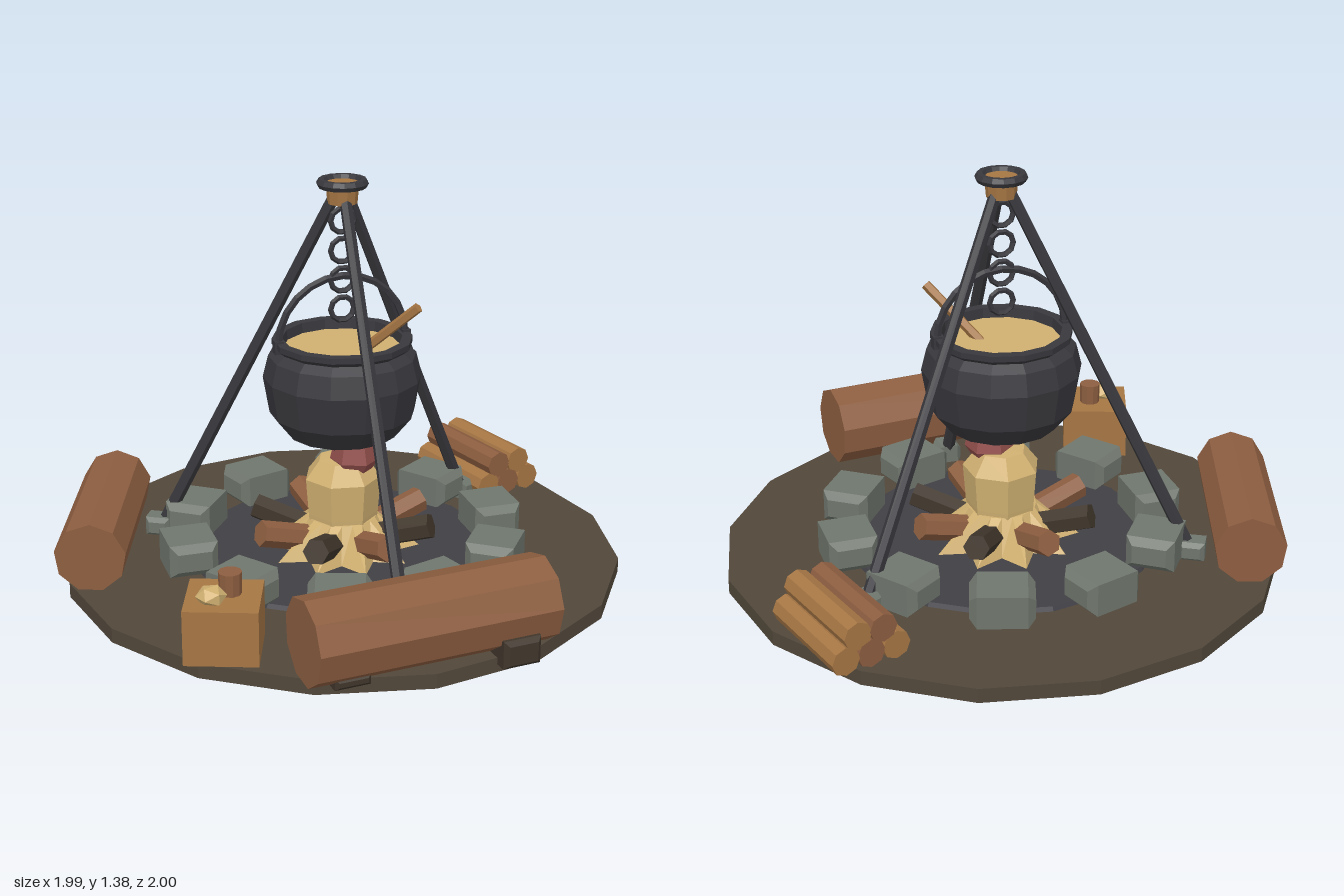
import * as THREE from 'three';

const V = (x, y, z) => new THREE.Vector3(x, y, z);
const mat = (name, color) => Object.assign(new THREE.MeshStandardMaterial({ color }), { name });

// Faceted normals for every face
function facet(geo) {
  const g = geo.index ? geo.toNonIndexed() : geo;
  g.computeVertexNormals();
  return g;
}

// Box with chamfered edges, centred on its origin
function chamferBox(w, h, d, c) {
  const x = w / 2 - c, y = h / 2 - c;
  const s = new THREE.Shape([[-x, -y], [x, -y], [x, y], [-x, y]].map(p => new THREE.Vector2(...p)));
  return new THREE.ExtrudeGeometry(s, {
    depth: d - 2 * c, bevelEnabled: true, bevelSize: c, bevelThickness: c, bevelSegments: 1,
  }).translate(0, 0, c - d / 2);
}

export function createModel() {
  const earth = mat('earth', 0x51473a), ash = mat('ash', 0x403f45), stone = mat('stone', 0x6f766d);
  const iron = mat('iron', 0x38383d), bark = mat('bark', 0x8d5e40), wood = mat('wood', 0xa67644);
  const charred = mat('charred wood', 0x40362b), straw = mat('straw yellow', 0xd0b071);
  const red = mat('flame red', 0x93504c);

  const model = new THREE.Group();
  model.name = 'campfire';
  const camp = new THREE.Group(); // everything arranged around the fire
  camp.name = 'fireAndTripod';
  camp.position.set(0.02, 0, -0.032);
  model.add(camp);

  function add(parent, name, geo, material, x = 0, y = 0, z = 0, ry = 0) {
    const m = new THREE.Mesh(facet(geo), material);
    m.name = name;
    m.position.set(x, y, z);
    m.rotation.y = ry;
    parent.add(m);
    return m;
  }
  // Straight prism between two points
  function beam(parent, name, a, b, rA, rB, sides, material) {
    const dir = b.clone().sub(a);
    const m = add(parent, name, new THREE.CylinderGeometry(rB, rA, dir.length(), sides), material);
    m.position.copy(a).add(b).multiplyScalar(0.5);
    m.quaternion.setFromUnitVectors(V(0, 1, 0), dir.normalize());
    return m;
  }

  // Ground and ash bed
  add(camp, 'ground', new THREE.CylinderGeometry(0.967, 0.967, 0.05, 16), earth, 0, 0.025, 0);
  add(camp, 'ashBed', new THREE.CylinderGeometry(0.53, 0.54, 0.02, 16), ash, 0, 0.055, 0);

  // Ring of stones
  for (let i = 0; i < 10; i++) {
    const a = (i * Math.PI) / 5;
    add(camp, 'ringStone', chamferBox(0.168, 0.115, 0.215, 0.025), stone,
      0.553 * Math.cos(a), 0.118, 0.553 * Math.sin(a), -a);
  }

  // Burning logs, alternately charred
  for (let i = 0; i < 8; i++) {
    const a = -0.2 + (i * Math.PI) / 4, c = Math.cos(a), s = Math.sin(a);
    beam(camp, 'fireLog', V(0.1 * c, 0.11, 0.1 * s), V(0.32 * c, 0.175, 0.32 * s),
      0.046, 0.046, 6, i % 2 ? charred : bark);
  }

  // Flames: jagged skirt, main body and red tip
  const skirt = new THREE.CylinderGeometry(0.12, 0.27, 0.12, 20);
  const p = skirt.attributes.position;
  for (let i = 0; i < p.count; i++) {
    const k = Math.round((Math.atan2(p.getX(i), p.getZ(i)) / Math.PI) * 10);
    if (p.getY(i) < 0 && Math.abs(k % 2) === 1) {
      p.setX(i, p.getX(i) * 0.68);
      p.setZ(i, p.getZ(i) * 0.68);
    }
  }
  add(camp, 'flameSkirt', skirt, straw, 0, 0.125, 0);
  const profile = (pts, sides) => new THREE.LatheGeometry(pts.map(q => new THREE.Vector2(...q)), sides);
  add(camp, 'flameBody', profile([[0.11, 0.07], [0.125, 0.2], [0.135, 0.33], [0.085, 0.395], [0, 0.4]], 7),
    straw, 0, 0, 0, 0.3);
  add(camp, 'flameTip', profile([[0, 0.29], [0.05, 0.345], [0.085, 0.4], [0.068, 0.47], [0, 0.5]], 6),
    red, 0.035, 0, 0.03, 0.2);

  // Cooking pot with flared rim and hollow inside
  add(camp, 'pot', profile([[0, 0.475], [0.14, 0.477], [0.19, 0.495], [0.25, 0.57], [0.272, 0.7], [0.253, 0.775],
    [0.222, 0.8], [0.24, 0.815], [0.24, 0.835], [0.205, 0.835], [0.198, 0.77], [0, 0.76]], 14), iron);
  add(camp, 'stew', new THREE.CylinderGeometry(0.205, 0.205, 0.02, 14), straw, 0, 0.79, 0);
  beam(camp, 'spoon', V(0.03, 0.75, 0.0), V(0.215, 0.965, 0.16), 0.018, 0.018, 5, wood);
  add(camp, 'potHandle', new THREE.TorusGeometry(0.225, 0.013, 5, 12, Math.PI), iron, 0, 0.825, 0);
  for (const side of [-1, 1]) {
    add(camp, 'handleLug', new THREE.BoxGeometry(0.03, 0.045, 0.035), iron, side * 0.226, 0.82, 0);
  }

  // Chain
  for (let i = 0; i < 4; i++) {
    add(camp, 'chainLink', new THREE.TorusGeometry(0.041, 0.01, 5, 10), iron, 0, 0.935 + i * 0.102, 0);
  }

  // Tripod: legs, foot stones, wooden hub and iron collar
  for (let i = 0; i < 3; i++) {
    const a = Math.PI / 2 + (i * 2 * Math.PI) / 3, c = Math.cos(a), s = Math.sin(a);
    beam(camp, 'tripodLeg', V(0.67 * c, 0.06, 0.67 * s), V(0.018 * c, 1.34, 0.018 * s), 0.023, 0.02, 6, iron);
    add(camp, 'footStone', chamferBox(0.09, 0.07, 0.09, 0.015), stone, 0.67 * c, 0.08, 0.67 * s, -a);
  }
  add(camp, 'tripodHub', new THREE.CylinderGeometry(0.056, 0.05, 0.07, 10), wood, 0, 1.335, 0);
  add(camp, 'tripodCollar', new THREE.TorusGeometry(0.071, 0.017, 6, 14).rotateX(Math.PI / 2), iron, 0, 1.368, 0);

  // Seat logs and the chocks under the front one
  beam(model, 'frontSeatLog', V(-0.385, 0.183, 0.861), V(0.43, 0.183, 0.777), 0.143, 0.143, 9, bark);
  beam(model, 'sideSeatLog', V(-0.668, 0.167, -0.597), V(-0.886, 0.167, 0.042), 0.122, 0.122, 9, bark);
  add(model, 'logChock', chamferBox(0.13, 0.095, 0.12, 0.015), charred, 0.3, 0.075, 0.88, 0.1);
  add(model, 'logChock', chamferBox(0.12, 0.04, 0.23, 0.012), charred, -0.25, 0.05, 0.8, 0.1);

  // Stacked firewood, three below and two on top
  const stack = new THREE.Group();
  stack.name = 'firewoodStack';
  stack.position.set(0.715, 0, -0.515);
  stack.rotation.y = 0.27;
  model.add(stack);
  [[-0.09, 0.098], [0, 0.098], [0.09, 0.098], [-0.045, 0.173], [0.045, 0.173]].forEach(([x, y], i) =>
    beam(stack, 'firewood', V(x, y, -0.195), V(x, y, 0.2), 0.049, 0.049, 8, i % 2 ? bark : wood));

  // Block table with a cup and a bread roll
  add(model, 'blockTable', new THREE.BoxGeometry(0.237, 0.185, 0.237), wood, -0.56, 0.143, 0.582, -0.34);
  add(model, 'cup', new THREE.CylinderGeometry(0.038, 0.036, 0.075, 10), bark, -0.535, 0.272, 0.57);
  const roll = add(model, 'breadRoll', new THREE.IcosahedronGeometry(0.05, 0), straw, -0.605, 0.252, 0.605, 0.4);
  roll.scale.y = 0.7;

  return model;
}
